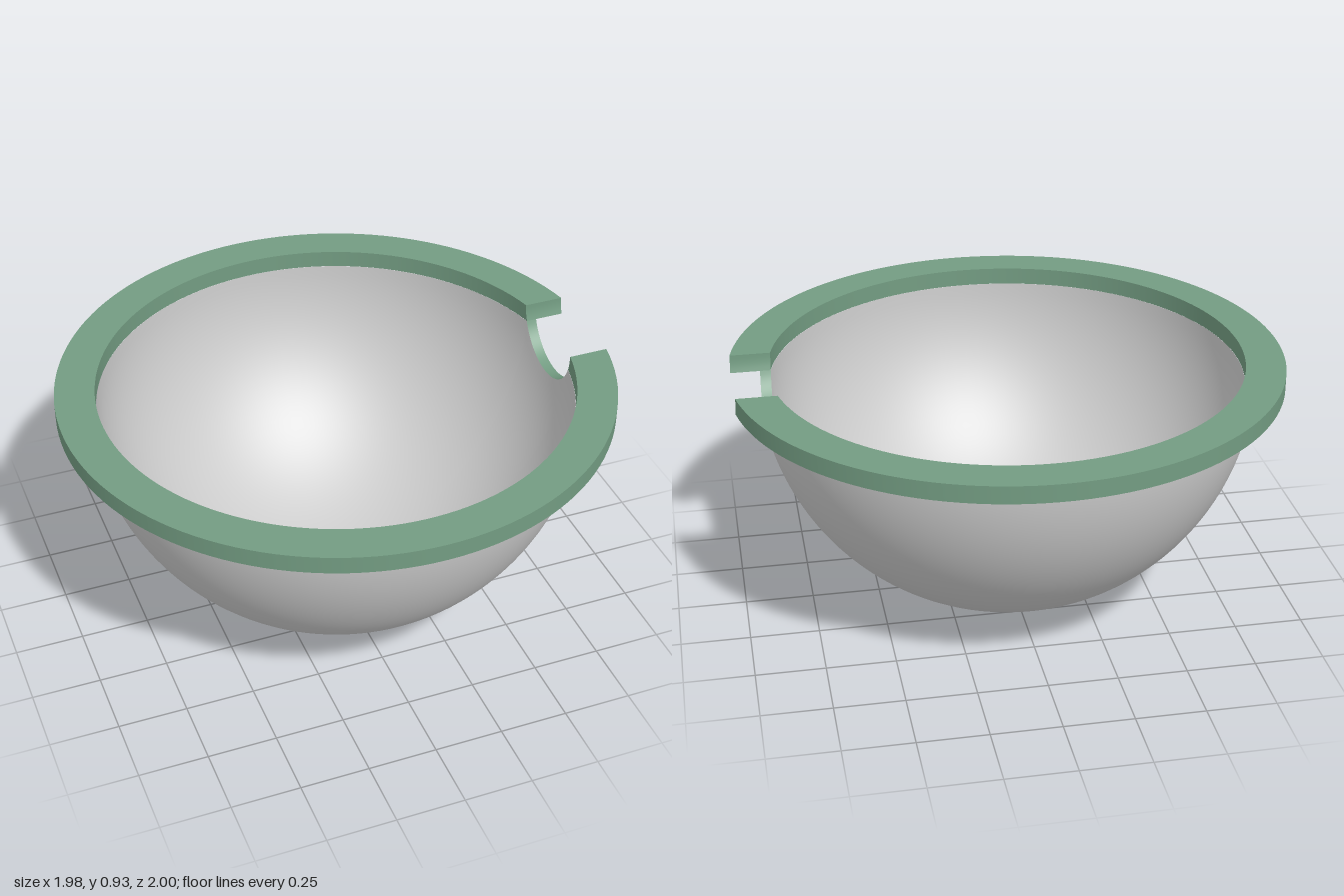
import * as THREE from 'three';
import { mergeVertices } from 'three/addons/utils/BufferGeometryUtils.js';

const CX = 0.008;                       // circle centre, offset so the notched outline is centred
const R_OUT = 0.895, R_IN = 0.857;      // bowl shell radii
const CY = 0.895;                       // bowl sphere centre height
const RIM_R = 1, RIM_Y0 = 0.862, RIM_Y1 = 0.926;
const NOTCH = 0.185;                    // radius of the half-round notch on the left (+x) side

const notchZ = y => Math.sqrt(Math.max(0, NOTCH ** 2 - (RIM_Y1 - y) ** 2));
const range = (n, f) => Array.from({ length: n + 1 }, (_, i) => f(i / n));
const polar = (r, y, t) => new THREE.Vector3(r * Math.cos(t), y, r * Math.sin(t));

// Surface through a grid of points (rows of equal length)
function surface(rows) {
  const w = rows[0].length, index = [];
  for (let i = 0; i < rows.length - 1; i++) {
    for (let j = 0; j < w - 1; j++) {
      const a = i * w + j, b = a + 1, d = a + w, c = d + 1;
      index.push(a, b, c, a, c, d);
    }
  }
  let geo = new THREE.BufferGeometry().setFromPoints(rows.flat());
  geo.setIndex(index);
  geo = mergeVertices(geo, 1e-5);
  geo.computeVertexNormals();
  return geo;
}

// Points of a shell's upper edge inside the notch, from -z to +z
function notchEdge(R) {
  const a0 = Math.asin((RIM_Y1 - RIM_Y0) / NOTCH);
  return range(32, s => {
    const a = Math.PI - a0 - s * (Math.PI - 2 * a0);
    const z = NOTCH * Math.cos(a), y = RIM_Y1 - NOTCH * Math.sin(a);
    return new THREE.Vector3(Math.sqrt(R * R - (y - CY) ** 2 - z * z), y, z);
  });
}

// Spherical shell: meridians from the bottom pole up to the notched edge
function shell(R, inward) {
  const notch = notchEdge(R), last = notch[notch.length - 1];
  const t0 = Math.atan2(last.z, last.x), r = Math.hypot(last.x, last.z);
  const round = range(96, s => polar(r, RIM_Y0, t0 + s * 2 * (Math.PI - t0)));
  const rows = [...notch, ...round.slice(1)].map(p => {
    const t = Math.atan2(p.z, p.x);
    const top = Math.acos((CY - p.y) / R);
    const line = range(32, s => polar(R * Math.sin(s * top), CY - R * Math.cos(s * top), t));
    return inward ? line.reverse() : line;
  });
  return surface(rows);
}

// Point on the rim at fraction s of its sweep from one notch side to the other
function rimPoint(r, y, s) {
  const t0 = Math.asin(notchZ(y) / r);
  return polar(r, y, t0 + s * 2 * (Math.PI - t0));
}

export function createModel() {
  const group = new THREE.Group();
  const grey = new THREE.MeshStandardMaterial({ color: 0xcccccc });
  const green = new THREE.MeshStandardMaterial({ color: 0x739c82 });
  const add = (parent, name, geo, mat) => {
    const mesh = new THREE.Mesh(geo, mat);
    mesh.name = name;
    parent.add(mesh);
  };

  // Bowl shell
  const bowl = new THREE.Group();
  bowl.name = 'bowl';
  add(bowl, 'bowlOutside', shell(R_OUT, false), grey);
  add(bowl, 'bowlInside', shell(R_IN, true), grey);

  // Cut wall of the notch between the two shells
  const outer = notchEdge(R_OUT), inner = notchEdge(R_IN);
  add(bowl, 'notchWall', surface(outer.map((p, i) => [p, inner[i]])), green);

  // Flat rim: four separate faces keep the corners sharp
  const rim = new THREE.Group();
  rim.name = 'rim';
  const levels = range(4, s => RIM_Y0 + s * (RIM_Y1 - RIM_Y0));
  const faces = {
    rimOuterWall: levels.map(y => [RIM_R, y]),
    rimTop: [[RIM_R, RIM_Y1], [R_IN, RIM_Y1]],
    rimInnerWall: [...levels].reverse().map(y => [R_IN, y]),
    rimUnderside: [[R_IN, RIM_Y0], [RIM_R, RIM_Y0]],
  };
  for (const [name, profile] of Object.entries(faces)) {
    add(rim, name, surface(range(128, s => profile.map(([r, y]) => rimPoint(r, y, s)))), green);
  }

  // End faces where the notch cuts the rim
  for (const [s, radii] of [[0, [RIM_R, R_IN]], [1, [R_IN, RIM_R]]]) {
    add(rim, 'rimEnd', surface(levels.map(y => radii.map(r => rimPoint(r, y, s)))), green);
  }

  bowl.position.x = rim.position.x = CX;
  group.add(bowl, rim);
  return group;
}
